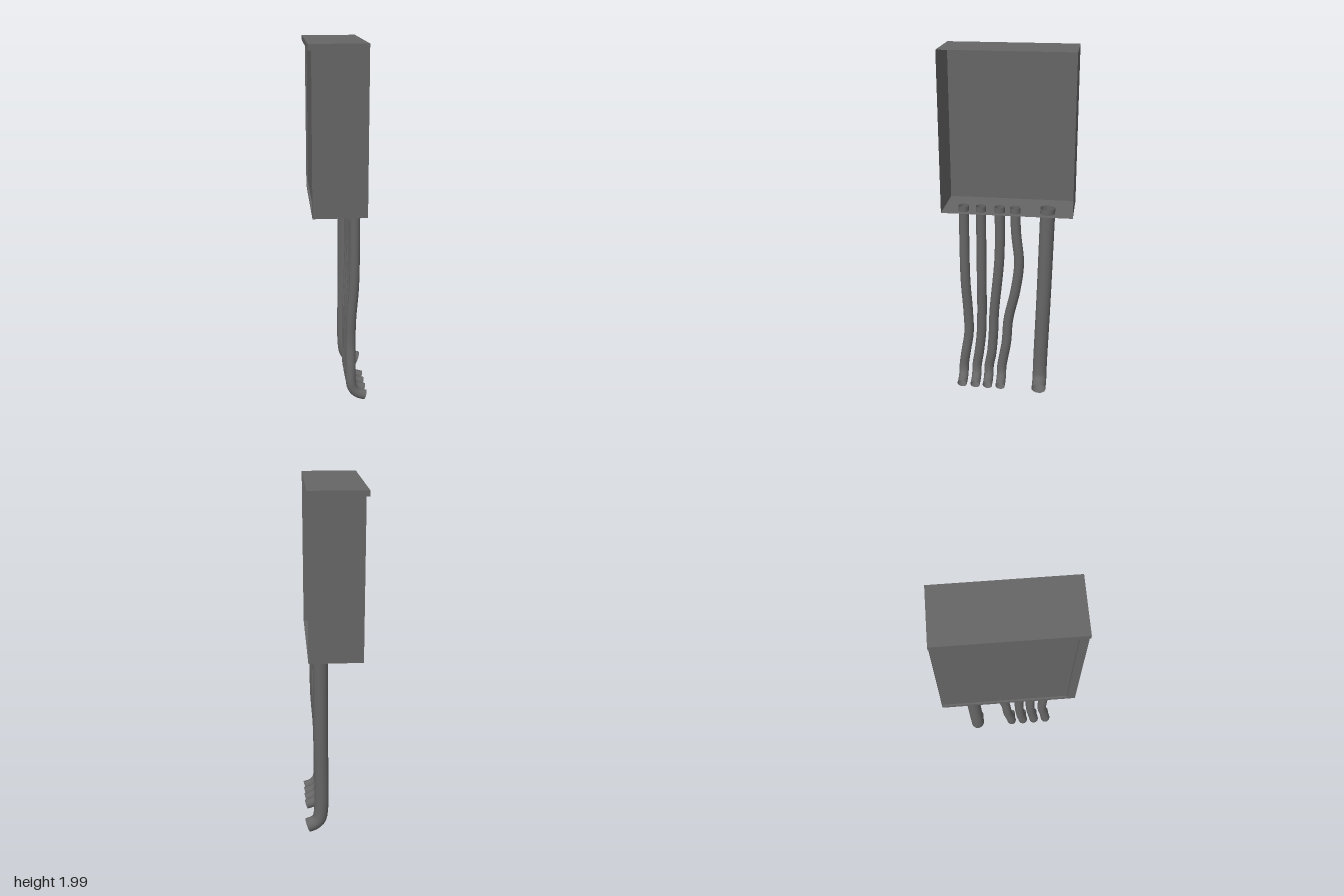
import * as THREE from 'three';

export function createModel() {
  const model = new THREE.Group();
  const grey = new THREE.MeshStandardMaterial({ color: 0x666666, side: THREE.DoubleSide });
  grey.name = 'dark grey';

  function add(name, geometry, parent = model) {
    const mesh = new THREE.Mesh(geometry, grey);
    mesh.name = name;
    parent.add(mesh);
    return mesh;
  }

  // Sheet facing along x, y or z, spanning two corner points
  function sheet(name, axis, a, b, parent) {
    const size = b.map((v, i) => v - a[i]);
    const dims = { x: [size[2], size[1]], y: [size[0], size[2]], z: [size[0], size[1]] }[axis];
    const geometry = new THREE.PlaneGeometry(...dims);
    if (axis === 'x') geometry.rotateY(-Math.PI / 2);
    if (axis === 'y') geometry.rotateX(-Math.PI / 2);
    const mesh = add(name, geometry, parent);
    mesh.position.set(...a.map((v, i) => (v + b[i]) / 2));
  }

  // Thin-walled cabinet, open on the +x side
  const cabinet = new THREE.Group();
  cabinet.name = 'cabinet';
  model.add(cabinet);
  const x0 = -0.14, x1 = 0.147, lip = -0.157, inset = -0.13;
  const y0 = 1.12, y1 = 1.97, top = 2, w = 0.36;
  for (const s of [-1, 1]) {
    sheet('sideWall', 'z', [x0, y0, s * w], [x1, top, s * w], cabinet);
    sheet('lipEnd', 'z', [lip, y1, s * w], [x0, top, s * w], cabinet);
  }
  sheet('floor', 'y', [x0, y0, -w], [x1, y0, w], cabinet);
  sheet('lid', 'y', [lip, top, -w], [x1, top, w], cabinet);
  sheet('lipFace', 'x', [lip, y1, -w], [lip, top, w], cabinet);
  sheet('lipUnderside', 'y', [lip, y1, -w], [x0, y1, w], cabinet);

  // Door panel set slightly into its frame
  const zd = 0.315, yb = 1.14, yt = 1.96;
  sheet('doorPanel', 'x', [inset, yb, -w], [inset, yt, zd], cabinet);
  sheet('frameSide', 'x', [x0, y0, zd], [x0, y1, w], cabinet);
  sheet('frameBottom', 'x', [x0, y0, -w], [x0, yb, zd], cabinet);
  sheet('frameTop', 'x', [x0, yt, -w], [x0, y1, zd], cabinet);
  sheet('frameStepSide', 'z', [x0, yb, zd], [inset, yt, zd], cabinet);
  sheet('frameStepBottom', 'y', [x0, yb, -w], [inset, yb, zd], cabinet);
  sheet('frameStepTop', 'y', [x0, yt, -w], [inset, yt, zd], cabinet);

  // Hollow pipe: [y, z] points down its length, then an elbow towards +x
  function pipe(name, radius, xTop, xLow, points) {
    const zEnd = points[points.length - 1][1];
    const path = points.map(([y, z]) =>
      new THREE.Vector3(THREE.MathUtils.lerp(xLow, xTop, THREE.MathUtils.smoothstep(y, 0.4, 0.8)), y, z));
    path.push(
      new THREE.Vector3(xLow + 0.012, 0.088, zEnd),
      new THREE.Vector3(xLow + 0.04, 0.06, zEnd),
      new THREE.Vector3(0.154, 0.046, zEnd));
    add(name, new THREE.TubeGeometry(new THREE.CatmullRomCurve3(path), 64, radius, 20));
  }

  const cables = [
    [[1.15, 0.243], [0.7, 0.243], [0.5, 0.234], [0.35, 0.232], [0.22, 0.252], [0.13, 0.265]],
    [[1.15, 0.147], [0.7, 0.149], [0.5, 0.152], [0.35, 0.158], [0.22, 0.173], [0.13, 0.187]],
    [[1.15, 0.043], [0.85, 0.046], [0.5, 0.08], [0.35, 0.087], [0.22, 0.098], [0.13, 0.114]],
    [[1.15, -0.042], [1, -0.048], [0.82, -0.065], [0.65, -0.045], [0.45, -0.002], [0.3, 0.01], [0.13, 0.038]],
  ];
  cables.forEach((points) => pipe('smallPipe', 0.028, 0.092, 0.073, points));
  pipe('largePipe', 0.041, 0.078, 0.077, [[1.15, -0.22], [0.6, -0.205], [0.15, -0.19]]);

  return model;
}
